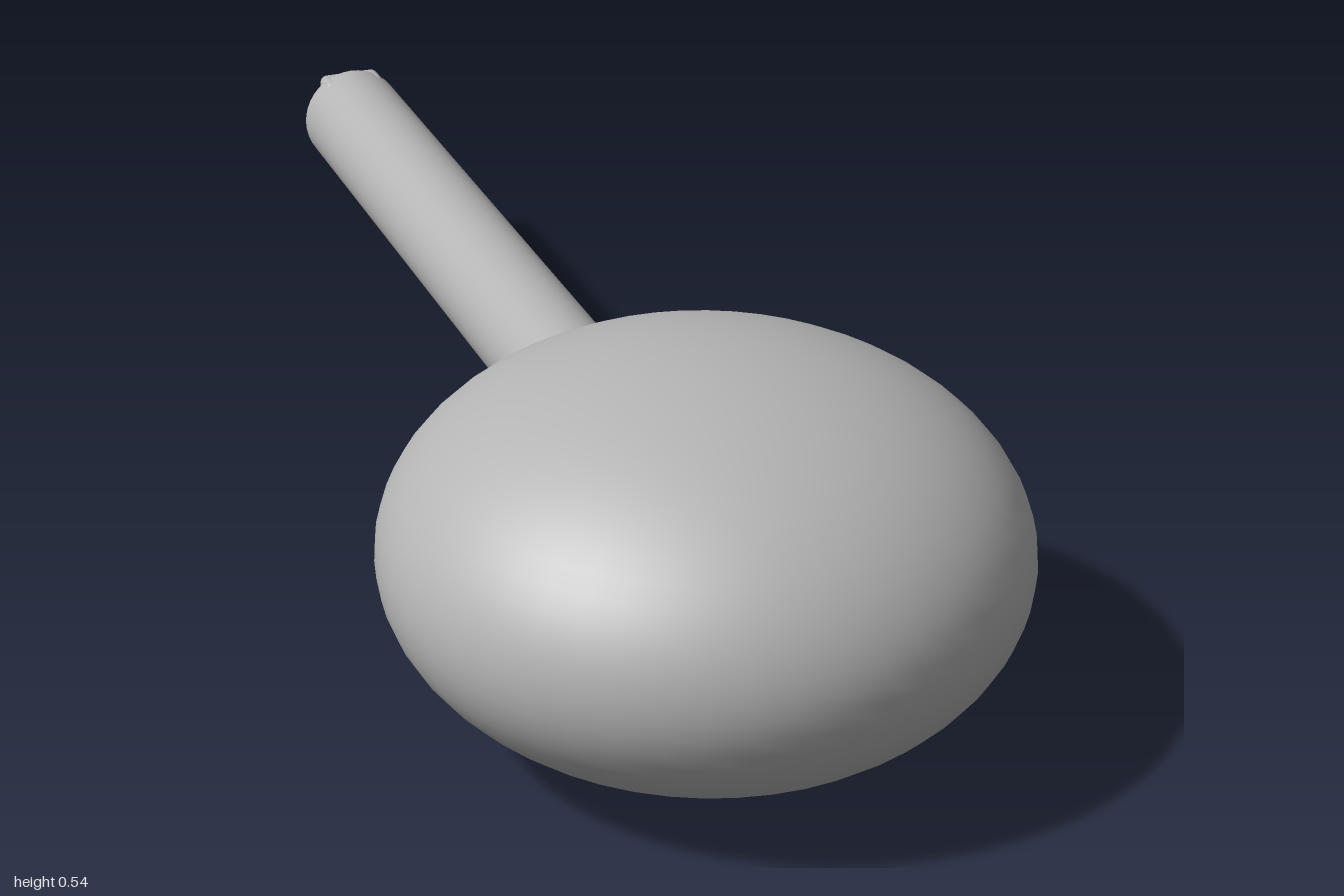
import * as THREE from 'three';
import { RoundedBoxGeometry } from 'three/addons/geometries/RoundedBoxGeometry.js';

export function createModel() {
  const model = new THREE.Group();
  const grey = new THREE.MeshStandardMaterial({ color: 0xb4b4b4 });
  grey.name = 'grey';

  const add = (name, geometry, x, y, z) => {
    const mesh = new THREE.Mesh(geometry, grey);
    mesh.name = name;
    mesh.position.set(x, y, z);
    model.add(mesh);
    return mesh;
  };

  // Flattened round head
  const head = new THREE.SphereGeometry(1, 48, 32).scale(0.435, 0.27, 0.435);
  add('head', head, 0, 0.272, 0.564);

  // Round handle with softened rims, lathed about y and laid along z
  const radius = 0.082, front = 0.093, back = -0.99, bevel = 0.018;
  const profile = [new THREE.Vector2(0, back)];
  for (const [end, start] of [[back + bevel, -Math.PI / 2], [front - bevel, 0]]) {
    for (let i = 0; i <= 6; i++) {
      const a = start + (i / 6) * (Math.PI / 2);
      profile.push(new THREE.Vector2(radius - bevel + bevel * Math.cos(a), end + bevel * Math.sin(a)));
    }
  }
  profile.push(new THREE.Vector2(0, front));
  const handle = new THREE.LatheGeometry(profile, 40).rotateX(Math.PI / 2);
  add('handle', handle, 0, 0.273, 0);

  // Small block set into the back end of the handle
  add('endBlock', new RoundedBoxGeometry(0.1, 0.146, 0.05, 4, 0.012), 0, 0.273, -0.975);

  return model;
}
